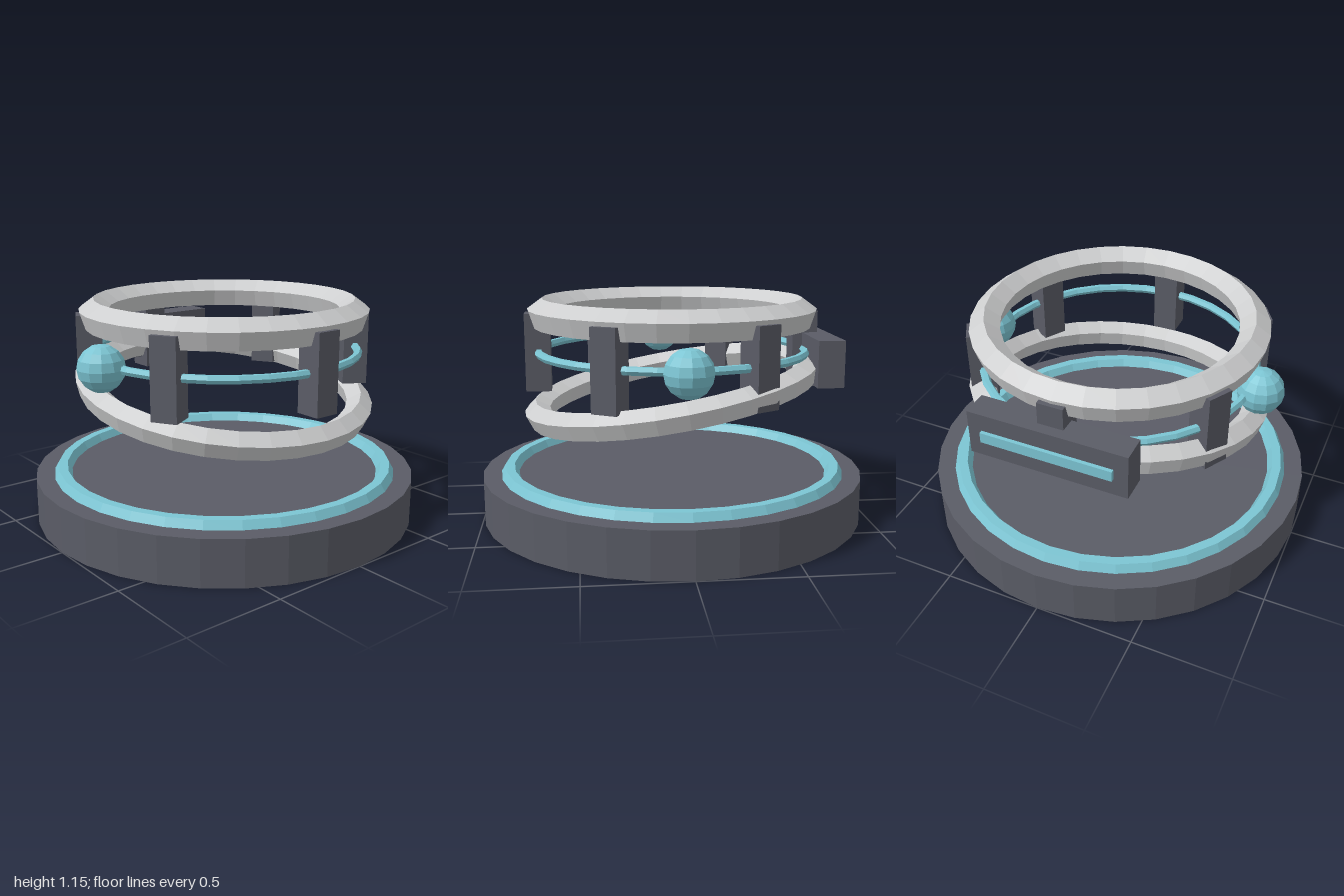
import * as THREE from 'three';

const flat = (name, color) => {
  const m = new THREE.MeshStandardMaterial({ color, flatShading: true });
  m.name = name;
  return m;
};

// Closed ring around y with a regular polygon cross-section
function ringGeometry(radius, tube, sides, phase) {
  const profile = [];
  for (let i = 0; i <= sides; i++) {
    const a = phase + (i / sides) * Math.PI * 2;
    profile.push(new THREE.Vector2(radius + tube * Math.cos(a), tube * Math.sin(a)));
  }
  return new THREE.LatheGeometry(profile, 32);
}

export function createModel() {
  const model = new THREE.Group();
  const dark = flat('darkMetal', 0x5a5c66);
  const pale = flat('paleMetal', 0xcdcecf);
  const cyan = flat('cyanGlow', 0x7cc5d3);

  const add = (name, geometry, material, x, y, z) => {
    const mesh = new THREE.Mesh(geometry, material);
    mesh.name = name;
    mesh.position.set(x, y, z);
    model.add(mesh);
    return mesh;
  };

  // Pedestal with its glowing rim
  add('base', new THREE.CylinderGeometry(1, 1, 0.235, 32), dark, 0, 0.1175, 0);
  add('baseGlowRing', ringGeometry(0.86, 0.046, 6, 0), cyan, 0, 0.235, 0);

  // Floating rings: level on top, tipped forward below
  add('upperRing', ringGeometry(0.67, 0.08, 5, Math.PI / 2), pale, 0, 1.067, 0);
  const lower = add('lowerRing', ringGeometry(0.715, 0.07, 5, Math.PI / 2), pale, 0, 0.67, 0);
  lower.rotation.x = THREE.MathUtils.degToRad(10);
  add('middleGlowRing', ringGeometry(0.695, 0.022, 6, 0), cyan, 0, 0.87, 0);

  // Six posts around the ring
  const postGeometry = new THREE.BoxGeometry(0.13, 0.4, 0.13);
  for (let i = 0; i < 6; i++) {
    const a = (i * Math.PI) / 3;
    const post = add('post', postGeometry, dark, 0.695 * Math.sin(a), 0.87, 0.695 * Math.cos(a));
    post.rotation.y = a;
  }

  // Side orbs
  const orbGeometry = new THREE.SphereGeometry(0.117, 12, 8);
  add('leftOrb', orbGeometry, cyan, 0.745, 0.87, 0);
  add('rightOrb', orbGeometry, cyan, -0.745, 0.87, 0);

  // Rear housing with light bar
  add('rearHousing', new THREE.BoxGeometry(0.8, 0.235, 0.134), dark, 0, 0.84, -0.747);
  add('rearLightBar', new THREE.BoxGeometry(0.66, 0.054, 0.03), cyan, 0, 0.84, -0.818);

  return model;
}
